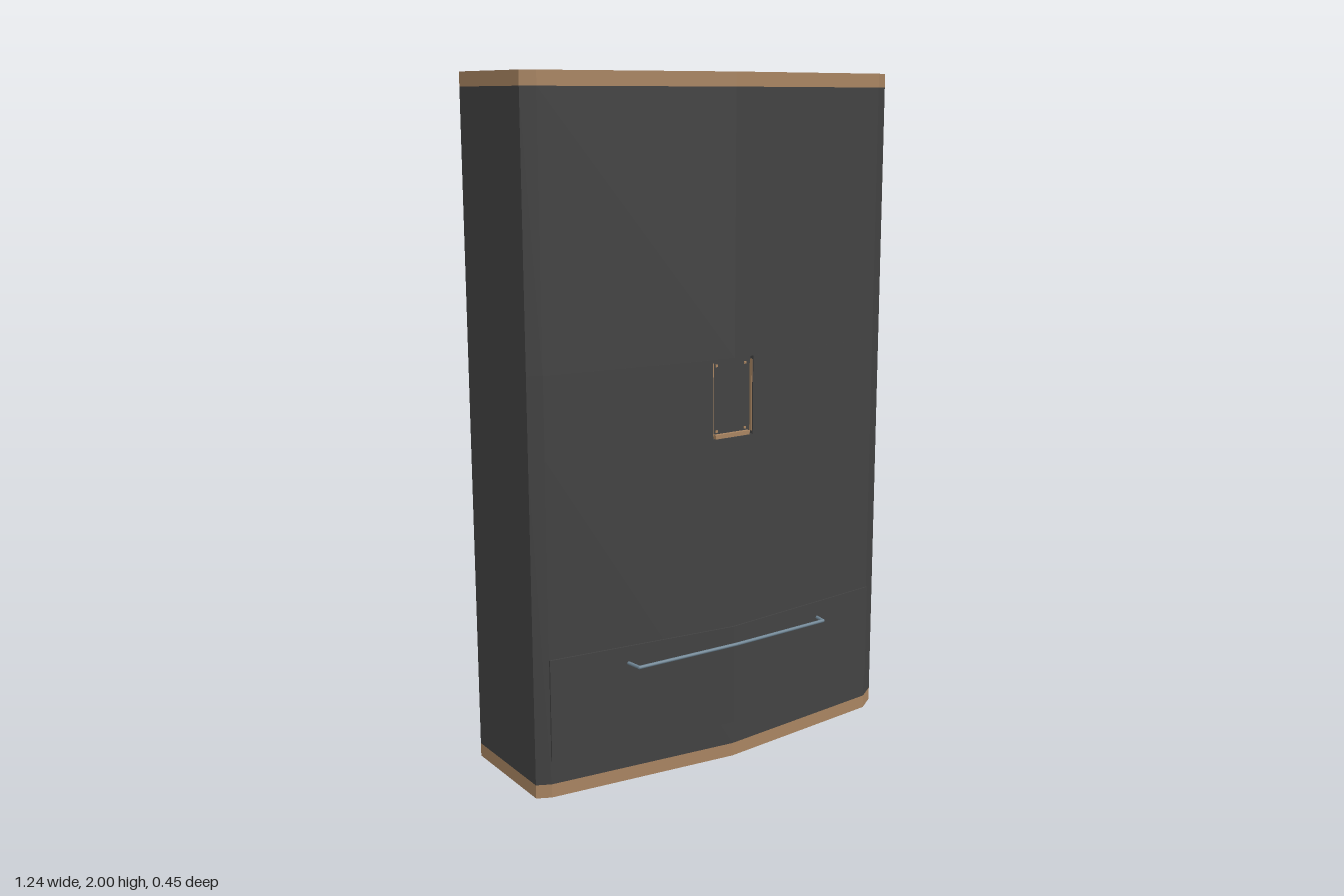
import * as THREE from 'three';

const mat = (name, color) => {
  const m = new THREE.MeshStandardMaterial({ color });
  m.name = name;
  return m;
};

export function createModel() {
  const group = new THREE.Group();
  const dark = mat('charcoal', 0x424242);
  const tan = mat('tan', 0xa88461);
  const steel = mat('steel', 0x6f8594);

  const add = (name, geometry, material) => {
    const mesh = new THREE.Mesh(geometry, material);
    mesh.name = name;
    group.add(mesh);
    return mesh;
  };

  // Extrudes a plan outline of [x, z] points upward between two heights
  const slab = (name, plan, y0, y1, material) => {
    const shape = new THREE.Shape(plan.map(([x, z]) => new THREE.Vector2(x, -z)));
    const g = new THREE.ExtrudeGeometry(shape, { depth: y1 - y0, bevelEnabled: false });
    g.rotateX(-Math.PI / 2).translate(0, y0, 0);
    return add(name, g, material);
  };

  // Cabinet plan: flat back, bowed front with clipped corners
  const rear = [[-0.58, 0.13], [-0.62, 0.11], [-0.62, -0.23], [0.62, -0.23], [0.62, 0.11], [0.56, 0.15]];
  const plan = [...rear, [0, 0.2]];
  const hw = 0.07, floor = 0.18;
  const notched = [...rear, [hw, 0.194], [hw, floor], [-hw, floor], [-hw, 0.192]];

  // Trim bands have dark end caps and tan sides
  slab('baseBand', plan, 0, 0.04, [dark, tan]);
  slab('lowerCabinet', plan, 0.04, 0.98, dark);
  slab('nicheCabinet', notched, 0.98, 1.21, dark);
  slab('upperCabinet', plan, 1.21, 1.96, dark);
  slab('topBand', plan, 1.96, 2, [dark, tan]);

  // Dispenser niche lining, lip and studs
  const box = (name, w, h, d, x, y, z, m) => {
    add(name, new THREE.BoxGeometry(w, h, d), m).position.set(x, y, z);
  };
  box('nicheLip', 0.12, 0.012, 0.012, 0, 0.986, 0.187, tan);
  for (const s of [-1, 1]) {
    box('nicheSideLining', 0.002, 0.21, 0.01, s * 0.068, 1.095, 0.186, tan);
    for (const y of [1.0, 1.19]) box('nicheStud', 0.007, 0.007, 0.004, s * 0.05, y, 0.181, tan);
  }

  // Drawer front following the bowed face
  slab('drawerFront', [[-0.58, 0.125], [0.56, 0.145], [0.56, 0.155], [0, 0.205], [-0.58, 0.135]], 0.11, 0.41, dark);

  // Bent rod handle
  const bends = [[-0.342, 0.16], [-0.335, 0.21], [0, 0.22], [0.335, 0.21], [0.34, 0.168]]
    .map(([x, z]) => new THREE.Vector3(x, 0.36, z));
  const up = new THREE.Vector3(0, 1, 0);
  bends.forEach((p, i) => {
    if (i > 0) {
      const dir = p.clone().sub(bends[i - 1]);
      const rod = add('handleRod', new THREE.CylinderGeometry(0.005, 0.005, dir.length(), 10), steel);
      rod.position.copy(p).add(bends[i - 1]).multiplyScalar(0.5);
      rod.quaternion.setFromUnitVectors(up, dir.normalize());
    }
    if (i > 0 && i < bends.length - 1) {
      add('handleBend', new THREE.SphereGeometry(0.005, 10, 8), steel).position.copy(p);
    }
  });

  return group;
}
